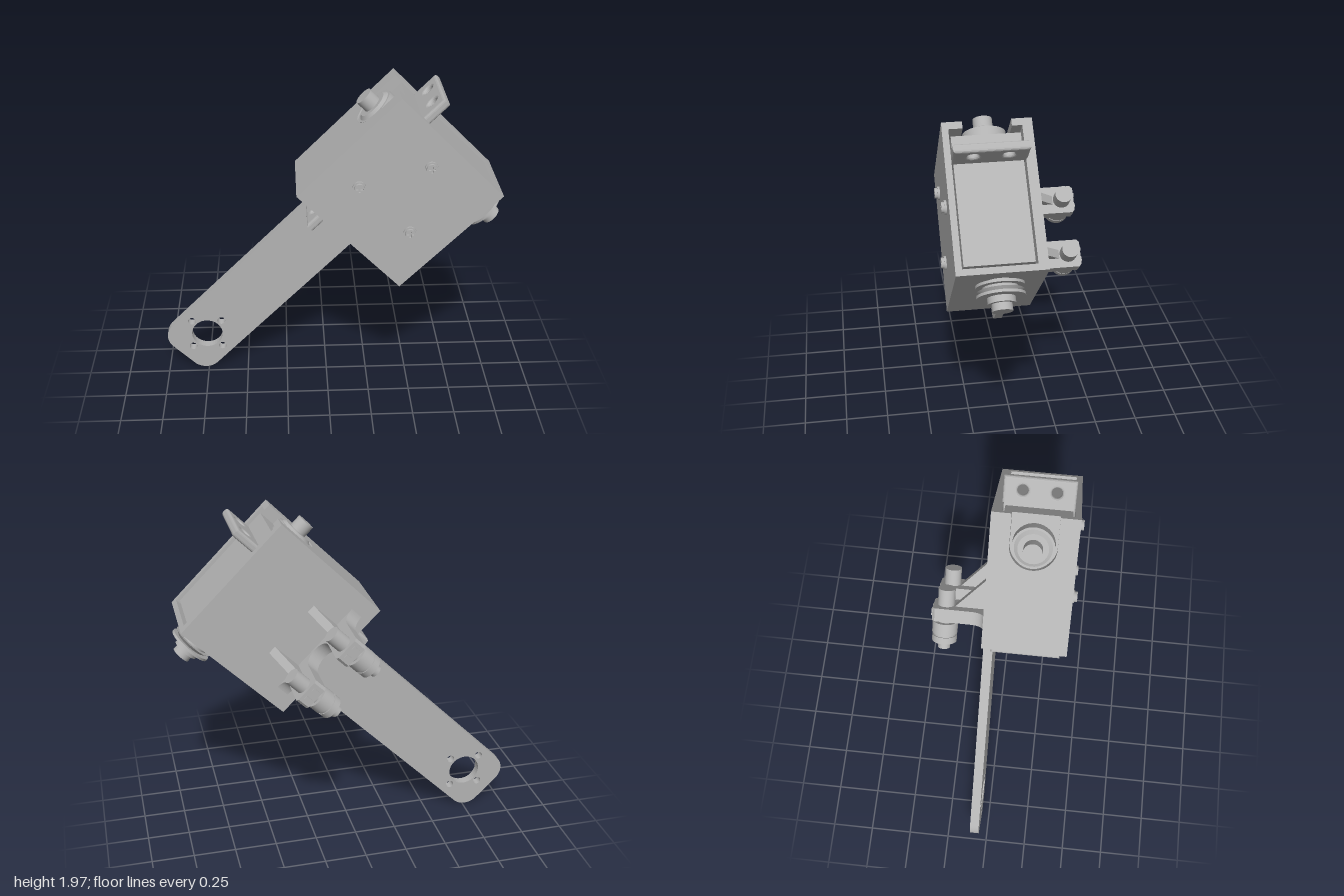
import * as THREE from 'three';

export function createModel() {
  const model = new THREE.Group();
  model.name = 'servoArmModule';
  const grey = new THREE.MeshStandardMaterial({ color: 0xb2b2b2 });
  grey.name = 'plainGrey';

  // Work in a frame where x runs along the arm, y across it, then tilt by 45 degrees
  const tilted = new THREE.Group();
  tilted.name = 'tiltedAssembly';
  tilted.rotation.z = Math.PI / 4;
  tilted.position.set(0.395, 1.405, 0);
  model.add(tilted);

  const add = (name, geo, x = 0, y = 0, z = 0) => {
    const m = new THREE.Mesh(geo, grey);
    m.name = name;
    m.position.set(x, y, z);
    tilted.add(m);
    return m;
  };
  const block = (name, x0, x1, y0, y1, z0, z1) =>
    add(name, new THREE.BoxGeometry(x1 - x0, y1 - y0, z1 - z0), (x0 + x1) / 2, (y0 + y1) / 2, (z0 + z1) / 2);
  const extrude = (shape, depth, bevel = 0) => new THREE.ExtrudeGeometry(shape, {
    depth, curveSegments: 20, bevelEnabled: bevel > 0, bevelSize: bevel, bevelThickness: bevel, bevelSegments: 3,
  });
  const circle = (x, y, r) => new THREE.Path().absarc(x, y, r, 0, Math.PI * 2, true);
  // Stepped round part: rows of [start, end, startRadius, endRadius]
  const turned = (name, axis, rows, x, y, z) => rows.forEach(([s, e, r0, r1 = r0]) => {
    const g = new THREE.CylinderGeometry(r1, r0, e - s, 36);
    g.translate(0, (s + e) / 2, 0);
    if (axis === 'x') g.rotateZ(-Math.PI / 2);
    add(name, g, x, y, z);
  });

  // Arm and back plate in one sheet, with the mounting hole pattern at its end
  const arm = new THREE.Shape();
  arm.moveTo(0.4, -0.415);
  arm.lineTo(0.4, 0.415);
  arm.lineTo(-0.4, 0.415);
  arm.lineTo(-0.4, 0.195);
  arm.lineTo(-1.74, 0.195);
  arm.absarc(-1.735, 0.09, 0.105, Math.PI / 2, Math.PI, false);
  arm.absarc(-1.735, -0.09, 0.105, Math.PI, Math.PI * 1.5, false);
  arm.lineTo(-0.4, -0.195);
  arm.lineTo(-0.4, -0.415);
  arm.closePath();
  arm.holes.push(circle(-1.62, 0, 0.096));
  for (let i = 0; i < 4; i++) {
    const t = i * Math.PI / 2;
    arm.holes.push(circle(-1.62 + 0.131 * Math.cos(t), 0.131 * Math.sin(t), 0.024));
  }
  add('armPlate', extrude(arm, 0.055), 0, 0, -0.1);

  // Housing walls, open at both ends
  block('housingFront', -0.4, 0.4, -0.415, 0.415, 0.345, 0.38);
  block('housingLowerWall', -0.4, 0.4, -0.415, -0.38, -0.045, 0.345);
  const wall = new THREE.Shape();
  wall.moveTo(-0.4, -0.345);
  wall.lineTo(0.4, -0.345);
  wall.lineTo(0.4, -0.27);
  wall.lineTo(0.22, -0.27);
  wall.absarc(0.22, -0.14, 0.13, Math.PI * 1.5, Math.PI / 2, true);
  wall.lineTo(0.4, -0.01);
  wall.lineTo(0.4, 0.045);
  wall.lineTo(-0.4, 0.045);
  wall.closePath();
  add('housingSlottedWall', extrude(wall, 0.04).rotateX(-Math.PI / 2), 0, 0.375, 0);

  // Servo body, its mounting ears and output
  block('servoBody', -0.35, 0.385, -0.365, 0.34, -0.035, 0.335);
  for (const s of [-1, 1]) {
    const ear = new THREE.Shape();
    ear.moveTo(-0.18, -0.185);
    ear.lineTo(0.165, -0.185);
    ear.lineTo(0.165, 0.185);
    ear.lineTo(-0.18, 0.185);
    ear.closePath();
    for (const h of [-0.093, 0.093]) ear.holes.push(circle(0.105, h, 0.045));
    const g = extrude(ear, 0.02, 0.015).rotateX(-Math.PI / 2);
    if (s < 0) g.rotateY(Math.PI);
    add('servoEar', g, s < 0 ? -0.325 : 0.37, 0.2, 0.145);
  }
  turned('servoOutput', 'y', [[0.33, 0.41, 0.118], [0.41, 0.425, 0.105, 0.085], [0.42, 0.495, 0.053]], 0.216, 0, 0.14);

  // Spool and hub on the opposite wall
  turned('spool', 'y', [
    [-0.575, -0.53, 0.055], [-0.535, -0.5, 0.075], [-0.5, -0.485, 0.13],
    [-0.485, -0.465, 0.095, 0.125], [-0.465, -0.445, 0.095], [-0.445, -0.43, 0.13], [-0.43, -0.41, 0.08],
  ], 0.223, 0, 0.14);

  // Cover screws with cross recesses
  const head = new THREE.Shape().absarc(0, 0, 0.03, 0, Math.PI * 2, false);
  const cross = new THREE.Path();
  const l = 0.02, w = 0.005;
  cross.setFromPoints([[l, w], [w, w], [w, l], [-w, l], [-w, w], [-l, w], [-l, -w], [-w, -w], [-w, -l], [w, -l], [w, -w], [l, -w]]
    .map(([x, y]) => new THREE.Vector2(x, y)));
  cross.closePath();
  for (const [x, y] of [[-0.12, 0.205], [0.237, 0.004], [-0.117, -0.202]]) {
    const c = new THREE.CylinderGeometry(0.038, 0.038, 0.015, 28).rotateX(Math.PI / 2);
    add('screwHead', c, x, y, 0.385);
    const top = head.clone();
    top.holes.push(cross);
    add('screwTop', extrude(top, 0.018), x, y, 0.39).rotation.z = -Math.PI / 4;
  }

  // Two-pronged bracket on the back with filleted roots
  const p0 = 0.083, p1 = 0.243, f = 0.09;
  const fork = new THREE.Shape();
  fork.moveTo(-p1 - f, 0);
  fork.lineTo(p1 + f, 0);
  fork.quadraticCurveTo(p1, 0, p1, f);
  fork.lineTo(p1, 0.29);
  fork.lineTo(p1 - 0.015, 0.305);
  fork.lineTo(p0 + 0.015, 0.305);
  fork.lineTo(p0, 0.29);
  fork.lineTo(p0, 0.1);
  fork.absarc(0, 0.1, p0, 0, Math.PI, true);
  fork.lineTo(-p0, 0.29);
  fork.lineTo(-p0 - 0.015, 0.305);
  fork.lineTo(-p1 + 0.015, 0.305);
  fork.lineTo(-p1, 0.29);
  fork.lineTo(-p1, f);
  fork.quadraticCurveTo(-p1, 0, -p1 - f, 0);
  const turn = new THREE.Matrix4().makeBasis(
    new THREE.Vector3(0, 1, 0), new THREE.Vector3(0, 0, -1), new THREE.Vector3(-1, 0, 0));
  add('rollerBracket', extrude(fork, 0.08).applyMatrix4(turn), -0.26, 0, -0.099);

  // Gusset, pin and roller on each prong
  for (const y of [-0.163, 0.163]) {
    const rib = new THREE.Shape();
    rib.moveTo(-0.27, 0);
    rib.lineTo(-0.07, 0);
    rib.lineTo(-0.26, 0.18);
    rib.lineTo(-0.27, 0.18);
    rib.closePath();
    add('gusset', extrude(rib, 0.05).rotateX(-Math.PI / 2), 0, y - 0.025, -0.099);
    turned('rollerPin', 'x', [[-0.27, -0.16, 0.049], [-0.53, -0.48, 0.036]], 0, y, -0.332);
    turned('roller', 'x', [
      [-0.36, -0.34, 0.05], [-0.375, -0.36, 0.074], [-0.43, -0.375, 0.074],
      [-0.445, -0.43, 0.066], [-0.485, -0.445, 0.072],
    ], 0, y, -0.332);
    for (const d of [-0.03, 0.03]) block('pinClip', -0.32, -0.28, y + d - 0.012, y + d + 0.012, -0.412, -0.4);
  }
  return model;
}
